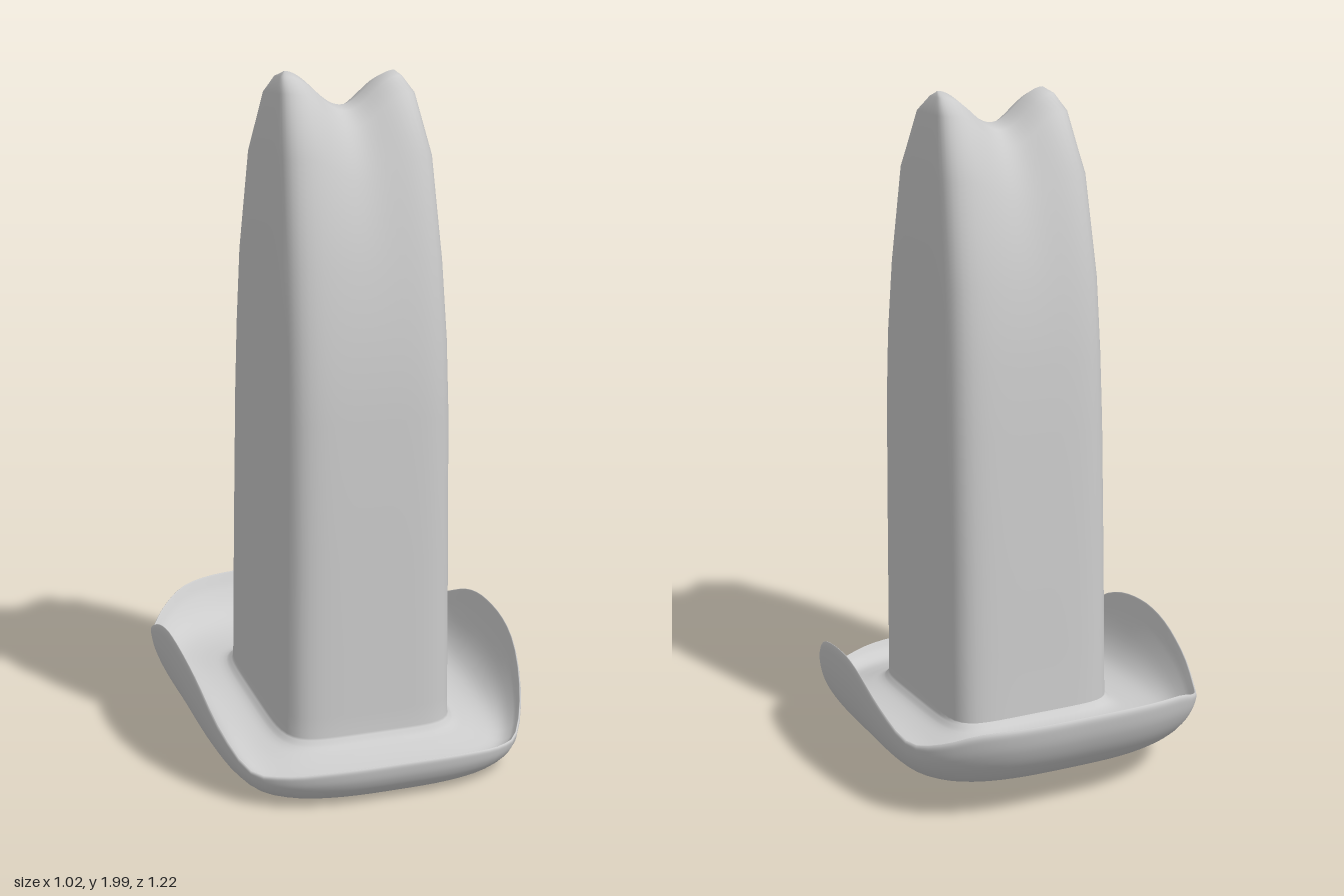
import * as THREE from 'three';
import { mergeVertices } from 'three/addons/utils/BufferGeometryUtils.js';

const SEG = 96;
const { lerp, smoothstep } = THREE.MathUtils;

// Rounded-rectangle outline: unit point at polar angle a with exponent n
function outline(a, n) {
  const c = Math.cos(a), s = Math.sin(a);
  const r = Math.pow(Math.abs(c) ** n + Math.abs(s) ** n, -1 / n);
  return [c * r, s * r];
}

// Brim edge height from side (0) to front / back (1)
const spline = (ys) => new THREE.SplineCurve(ys.map((y, i) => new THREE.Vector2(i, y)));
const frontEdge = spline([0.368, 0.315, 0.205, 0.115, 0.113, 0.125, 0.13]);
const backEdge = spline([0.368, 0.305, 0.25, 0.275, 0.315, 0.33, 0.335]);
function edgeHeight(a) {
  const s = Math.sin(a);
  const t = Math.atan2(Math.abs(s) ** 1.5, Math.abs(Math.cos(a)) ** 1.5) / (Math.PI / 2);
  return (s > 0 ? frontEdge : backEdge).getPoint(Math.min(1, t)).y;
}

// Crown rings from the ridge down: height, half width, front z, back z
const CROWN = [
  [2.0, 0.165, 0.08, 0.08],
  [1.985, 0.18, 0.125, 0.01],
  [1.94, 0.2, 0.195, -0.055],
  [1.77, 0.227, 0.287, -0.143],
  [1.48, 0.243, 0.345, -0.205],
  [1.26, 0.25, 0.375, -0.226],
  [1.05, 0.254, 0.388, -0.24],
  [0.65, 0.259, 0.39, -0.255],
  [0.4, 0.262, 0.39, -0.262],
  [0.2, 0.264, 0.39, -0.268],
];

// One crown ring, creased lengthwise towards the top
function crownRing([y, hw, zf, zb], inset) {
  return (a) => {
    const [u, v] = outline(a, 6);
    const w = hw - inset, d = Math.max(0, (zf - zb) / 2 - inset);
    const x = u * w;
    const groove = 0.5 + 0.5 * Math.cos(Math.PI * Math.min(1, Math.abs(x) / 0.165));
    const dip = 0.095 * smoothstep(y, 1.35, 2) * groove;
    return [x, y - dip - inset, (zf + zb) / 2 + v * d];
  };
}

// Brim profile: spread from crown to edge, share of edge height, lift above base plane
const BRIM = [
  [0.0, 0, 0.12], [0.08, 0, 0.1], [0.3, 0.03, 0.085], [0.55, 0.15, 0.07], [0.75, 0.4, 0.05],
  [0.9, 0.74, 0.03], [0.965, 0.95, 0.01], [0.985, 1, 0], [1.0, 0.96, 0], [0.995, 0.85, 0],
  [0.96, 0.65, 0], [0.87, 0.4, 0], [0.72, 0.17, 0], [0.52, 0.02, 0], [0.25, 0, 0.005],
  [0.05, 0, 0.03], [-0.08, 0, 0.08],
];

function brimRing({ x: k, y: h, z: lift }) {
  return (a) => {
    const [u0, v0] = outline(a, 6), [u1, v1] = outline(a, 3);
    const x = lerp(0.265 * u0, 0.51 * u1, k);
    const z = lerp(0.06 + 0.33 * v0, 0.61 * v1, k);
    const base = 0.056 - 0.097 * z;
    return [x, lerp(base + lift, edgeHeight(a), h), z];
  };
}

// Skin a list of closed rings
function loft(rings) {
  const pos = [], idx = [];
  rings.forEach((ring, i) => {
    for (let j = 0; j < SEG; j++) {
      pos.push(...ring((j / SEG) * Math.PI * 2));
      if (i === rings.length - 1) continue;
      const a = i * SEG + j, b = i * SEG + ((j + 1) % SEG);
      idx.push(a, b, a + SEG, b, b + SEG, a + SEG);
    }
  });
  let g = new THREE.BufferGeometry();
  g.setAttribute('position', new THREE.Float32BufferAttribute(pos, 3));
  g.setIndex(idx);
  g = mergeVertices(g, 1e-4);
  g.computeVertexNormals();
  return g;
}

export function createModel() {
  const group = new THREE.Group();
  group.name = 'tallHat';
  const material = new THREE.MeshStandardMaterial({ color: 0xcccccc, side: THREE.DoubleSide });

  // Outer crown, curled brim and hollow lining as one continuous skin
  const profile = new THREE.CatmullRomCurve3(BRIM.map((p) => new THREE.Vector3(...p)), false, 'centripetal');
  const rings = [
    ...CROWN.map((r) => crownRing(r, 0)),
    ...profile.getPoints(64).map(brimRing),
    ...CROWN.slice().reverse().map((r) => crownRing(r, 0.03)),
  ];
  const hat = new THREE.Mesh(loft(rings), material);
  hat.name = 'crownAndBrim';
  group.add(hat);
  return group;
}
